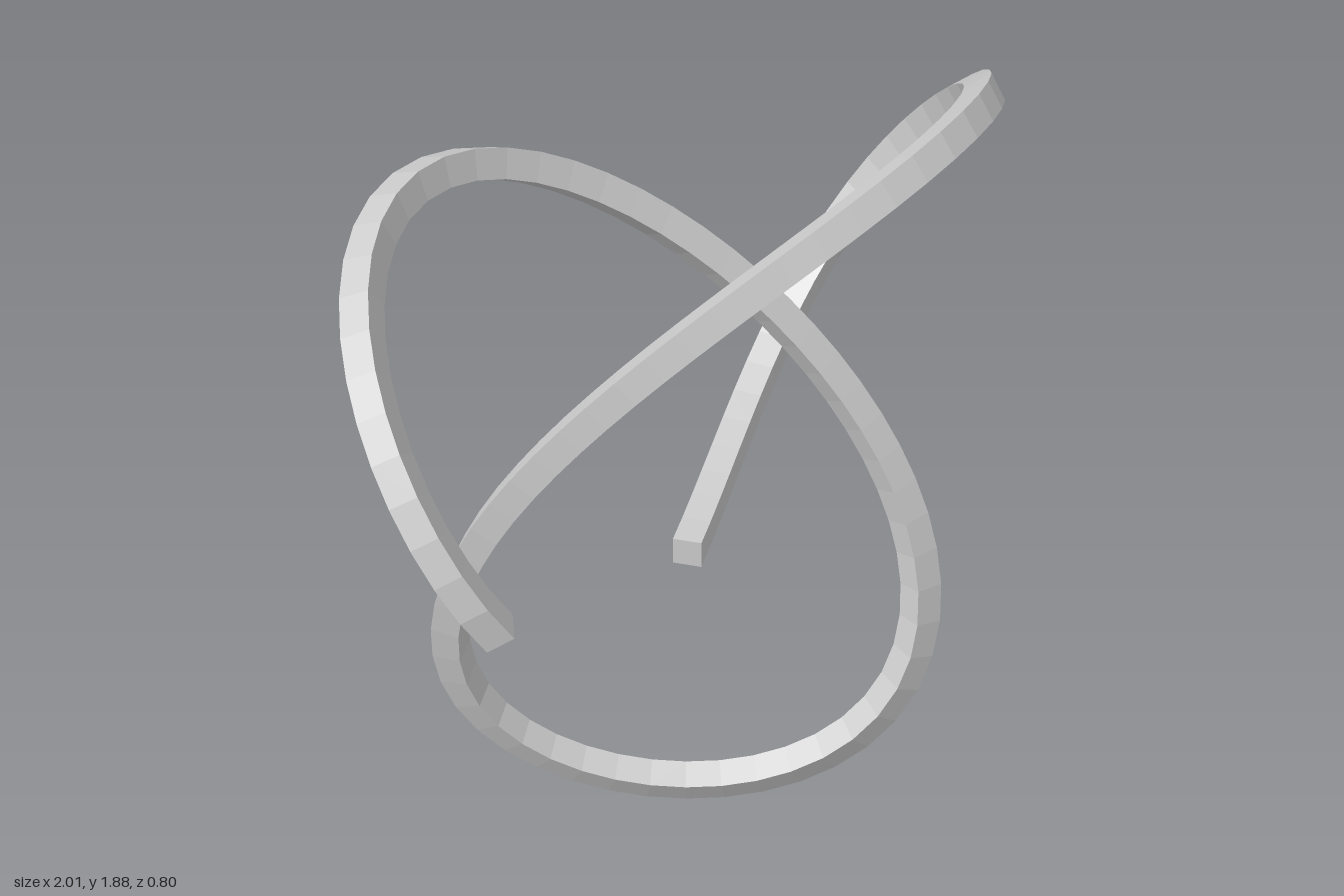
import * as THREE from 'three';

const SCALE = 0.352; // size of the knot
const CENTRE_Y = 1.096; // height of the knot's centre
const WIDTH = 0.07; // side of the square bar
const SWEEP = 0.9 * Math.PI * 2; // the knot is left open

// Trefoil centre line
class TrefoilCurve extends THREE.Curve {
  getPoint(u, target = new THREE.Vector3()) {
    const t = u * SWEEP;
    return target.set(
      Math.sin(t) + 2 * Math.sin(2 * t),
      Math.cos(t) - 2 * Math.cos(2 * t),
      -Math.sin(3 * t)
    ).multiplyScalar(SCALE).add(new THREE.Vector3(0, CENTRE_Y, 0));
  }
}

export function createModel() {
  const group = new THREE.Group();
  group.name = 'openTrefoilKnot';

  // Square cross-section
  const h = WIDTH / 2;
  const square = new THREE.Shape([
    new THREE.Vector2(-h, -h),
    new THREE.Vector2(h, -h),
    new THREE.Vector2(h, h),
    new THREE.Vector2(-h, h),
  ]);

  // Bar swept along the knot, with closed ends
  const path = new TrefoilCurve();
  path.arcLengthDivisions = 1000;
  const geometry = new THREE.ExtrudeGeometry(square, {
    steps: 100,
    bevelEnabled: false,
    extrudePath: path,
  });
  const material = new THREE.MeshStandardMaterial({ color: 0xcccccc, flatShading: true });
  const bar = new THREE.Mesh(geometry, material);
  bar.name = 'knotBar';
  group.add(bar);
  return group;
}
